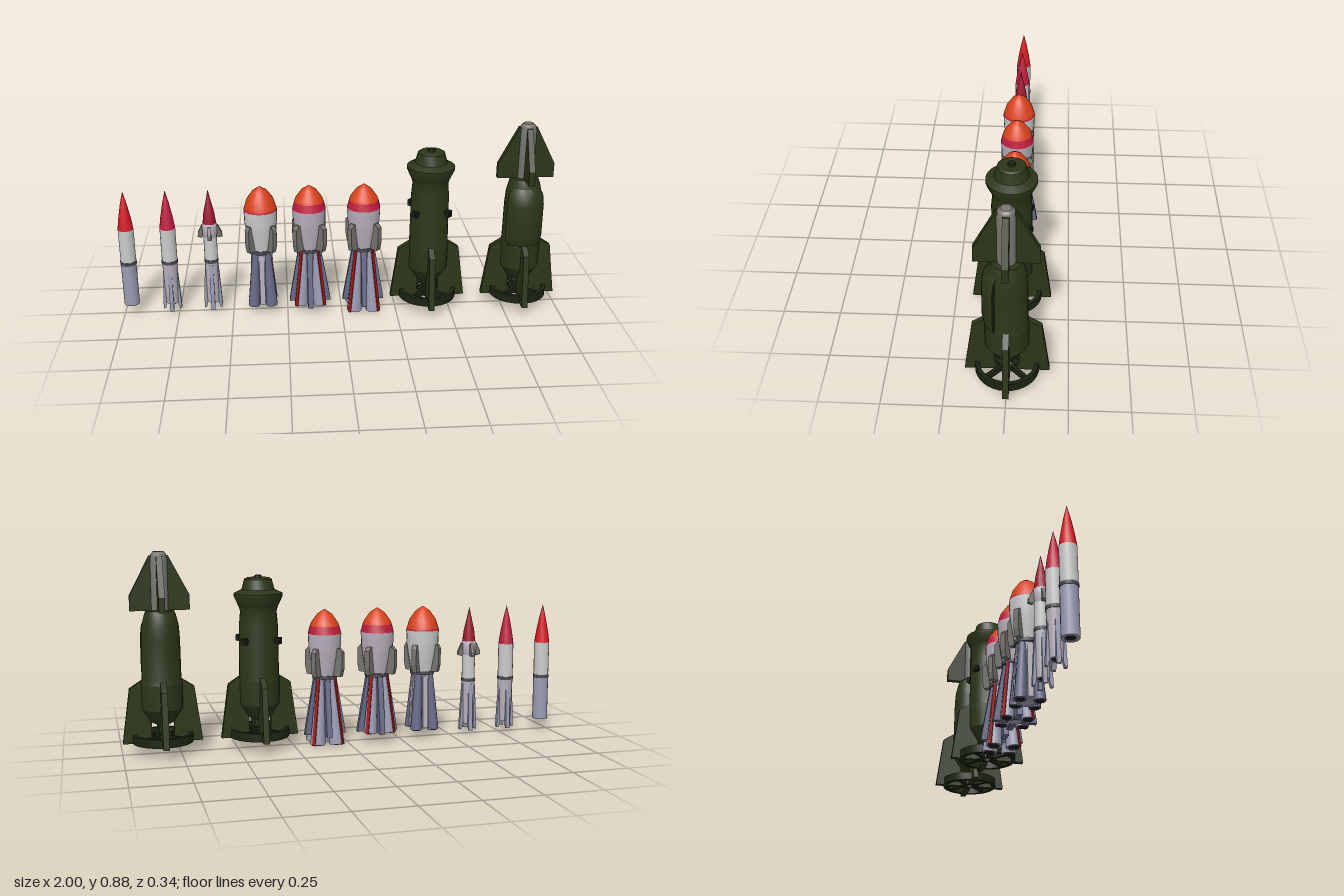
import * as THREE from 'three';
import { toCreasedNormals } from 'three/addons/utils/BufferGeometryUtils.js';

const paint = (color) => new THREE.MeshStandardMaterial({ color, side: THREE.DoubleSide });
const M = {
  red: paint(0xd41a22), crimson: paint(0xc01c3e), orange: paint(0xd8421a), maroon: paint(0x9c1830),
  white: paint(0xdcd8dc), lilac: paint(0xb8b0bc), steel: paint(0x9a9cb4), slate: paint(0x686a88),
  dark: paint(0x4a4a50), black: paint(0x1c1c20), stripe: paint(0xa01818),
  green: paint(0x2c3618), deep: paint(0x1c2412), grey: paint(0x77746f),
};
const CARDINAL = [0, 1, 2, 3].map((i) => i * Math.PI / 2);
const DIAGONAL = CARDINAL.map((a) => a + Math.PI / 4);

function add(parent, name, geometry, material) {
  const mesh = new THREE.Mesh(geometry, material);
  mesh.name = name;
  parent.add(mesh);
  return mesh;
}

// Turned part from [radius, height] pairs, bottom to top
function turn(parent, name, pts, material, sides = 20, start = 0, sweep = Math.PI * 2) {
  const g = new THREE.LatheGeometry(pts.map(([r, y]) => new THREE.Vector2(r, y)), sides, start, sweep);
  return add(parent, name, toCreasedNormals(g, 0.5), material);
}

// Flat plates with a [radius, height] outline, repeated around the axis
function plates(parent, name, pts, thick, angles, material) {
  const shape = new THREE.Shape(pts.map(([r, y]) => new THREE.Vector2(r, y)));
  const g = new THREE.ExtrudeGeometry(shape, { depth: thick, bevelEnabled: false });
  g.translate(0, 0, -thick / 2);
  for (const a of angles) add(parent, name, g, material).rotation.y = a;
}

// Leaning tapered boosters, from [radius, height] at the foot to the top
function boosters(parent, foot, top, rFoot, rTop, angles, material) {
  const dir = new THREE.Vector3(top[0] - foot[0], top[1] - foot[1], 0);
  const g = new THREE.CylinderGeometry(rTop, rFoot, dir.length(), 12);
  g.rotateZ(-Math.atan2(dir.x, dir.y));
  g.translate((foot[0] + top[0]) / 2, (foot[1] + top[1]) / 2, 0);
  const mouth = new THREE.CylinderGeometry(rFoot * 0.72, rFoot * 0.72, 0.004, 12);
  mouth.translate(foot[0], foot[1], 0);
  for (const a of angles) {
    add(parent, 'booster', g, material).rotation.y = a;
    add(parent, 'boosterMouth', mouth, M.black).rotation.y = a;
  }
}

function slimRocket(kind) {
  const g = new THREE.Group();
  const r = kind === 2 ? 0.03 : 0.035;
  const noseY = kind === 2 ? 0.44 : 0.42;
  turn(g, 'noseCone', [[r, noseY], [r * 0.8, noseY + 0.05], [r * 0.42, 0.54], [0, 0.6]], [M.red, M.crimson, M.maroon][kind], 16);
  turn(g, 'upperBody', [[r, 0.26], [r, noseY]], M.white, 16);
  turn(g, 'stageBand', [[r, 0.25], [r + 0.002, 0.25], [r + 0.002, 0.265], [r, 0.265]], M.dark, 16);
  const low = kind === 0 ? r : 0.028;
  turn(g, 'lowerBody', [[0, 0.07], [low * 0.6, 0.05], [low, 0.05], [r, 0.25]], kind === 0 ? M.steel : M.lilac, 16);
  turn(g, 'engineMouth', [[0, 0.052], [low * 0.6, 0.052]], M.black, 16);
  if (kind > 0) {
    plates(g, 'tailFin', [[0.024, 0.05], [0.032, 0.02], [0.042, 0.02], [0.038, 0.11], [0.03, 0.24], [0.02, 0.24]], 0.018, CARDINAL, M.steel);
  }
  if (kind === 2) {
    turn(g, 'collar', [[0.03, 0.375], [0.034, 0.4], [0.034, 0.43], [0.03, 0.44]], M.lilac, 16);
    plates(g, 'collarFin', [[0.026, 0.39], [0.036, 0.37], [0.055, 0.375], [0.053, 0.395], [0.036, 0.43], [0.026, 0.43]], 0.016, CARDINAL, M.grey);
  }
  return g;
}

function heavyRocket(kind) {
  const g = new THREE.Group();
  const tint = kind === 0 ? M.white : M.lilac;
  const seam = kind === 0 ? 0.508 : 0.535;
  const seamR = kind === 0 ? 0.073 : 0.066;
  turn(g, 'noseSkirt', [[0.075, 0.5], [seamR, seam]], M.crimson);
  turn(g, 'noseCap', [[seamR, seam], [0.06, 0.55], [0.033, 0.588], [0, 0.61]], M.orange);
  turn(g, 'upperBody', [[0.052, 0.31], [0.066, 0.39], [0.073, 0.44], [0.075, 0.5]], tint);
  turn(g, 'stageBand', [[0.046, 0.297], [0.056, 0.297], [0.056, 0.313], [0.046, 0.313]], M.dark);
  const out = kind === 0 ? 0 : 0.008;
  plates(g, 'sidePod', [[0.05, 0.31], [0.08 + out, 0.31], [0.088 + out, 0.345], [0.088 + out, 0.42], [0.078, 0.437], [0.06, 0.437]],
    0.024, DIAGONAL, M.grey);
  turn(g, 'coreStage', [[0, 0.045], [0.045, 0.045], [0.045, 0.3]], M.steel);
  if (kind === 0) {
    boosters(g, [0.058, 0.04], [0.036, 0.3], 0.026, 0.017, DIAGONAL, M.slate);
    plates(g, 'coverStrip', [[0.03, 0.05], [0.058, 0.05], [0.048, 0.29], [0.03, 0.29]], 0.024, CARDINAL, M.lilac);
    return g;
  }
  // Striped boosters between dark flared ribs
  const footY = kind === 2 ? 0.002 : 0.04;
  const footR = kind === 2 ? 0.034 : 0.03;
  boosters(g, [0.062, footY], [0.036, 0.3], footR, 0.018, DIAGONAL, M.steel);
  plates(g, 'redStripe', [[0.05, footY], [0.062 + footR + 0.002, footY], [0.056, 0.3], [0.04, 0.3]], 0.016, DIAGONAL, M.stripe);
  plates(g, 'flaredRib', [[0.03, 0.04], [0.095, 0.04], [0.088, 0.085], [0.052, 0.295], [0.03, 0.295]], 0.024, CARDINAL, M.slate);
  return g;
}

// Shared tail of the green rockets: fins, ring and spokes
function greenTail(g) {
  turn(g, 'tailCone', [[0, 0.115], [0.05, 0.14], [0.088, 0.2], [0.09, 0.31]], M.green, 28);
  plates(g, 'tailFin', [[0.048, 0.05], [0.172, 0.05], [0.139, 0.29], [0.085, 0.325], [0.06, 0.3], [0.048, 0.14]], 0.026, CARDINAL, M.green);
  turn(g, 'tailRing', [[0.114, 0.05], [0.131, 0.05], [0.131, 0.088], [0.114, 0.088], [0.114, 0.05]], M.deep, 32);
  plates(g, 'ringSpoke', [[0.03, 0.055], [0.118, 0.055], [0.118, 0.083], [0.03, 0.083]], 0.014, DIAGONAL, M.deep);
  plates(g, 'finRoot', [[0.03, 0.055], [0.05, 0.055], [0.05, 0.083], [0.03, 0.083]], 0.02, CARDINAL, M.deep);
  turn(g, 'tailHub', [[0.022, 0.055], [0.036, 0.055], [0.036, 0.083], [0.022, 0.083], [0.022, 0.055]], M.deep, 20);
}

function domeRocket() {
  const g = new THREE.Group();
  greenTail(g);
  turn(g, 'body', [[0.09, 0.31], [0.088, 0.33], [0.085, 0.55], [0.08, 0.61], [0.086, 0.63]], M.green, 28);
  turn(g, 'head', [[0.086, 0.63], [0.107, 0.675], [0.107, 0.688], [0.072, 0.705], [0.06, 0.75], [0.05, 0.756], [0, 0.756]], M.green, 28);
  turn(g, 'topKnob', [[0.017, 0.755], [0.015, 0.767], [0, 0.767]], M.deep, 12);
  // Thruster blocks: a stem with a square plate and a nozzle
  for (const a of DIAGONAL) {
    const block = new THREE.Group();
    block.name = 'thrusterBlock';
    add(block, 'stem', new THREE.BoxGeometry(0.035, 0.014, 0.014), M.deep).position.x = 0.102;
    add(block, 'plate', new THREE.BoxGeometry(0.016, 0.028, 0.028), M.black).position.x = 0.107;
    block.position.y = 0.485;
    block.rotation.y = a;
    g.add(block);
  }
  return g;
}

function winglessTopRocket() {
  const g = new THREE.Group();
  greenTail(g);
  turn(g, 'body', [[0.09, 0.31], [0.085, 0.33], [0.083, 0.5], [0.079, 0.56], [0.068, 0.605], [0.06, 0.625], [0, 0.63]], M.green, 28);
  // Raised panel over the front of the body
  turn(g, 'frontPanel', [[0.08, 0.3], [0.092, 0.32], [0.098, 0.36], [0.098, 0.51], [0.091, 0.56], [0.07, 0.59]], M.green, 14, -1, 2);
  plates(g, 'panelEdge', [[0.07, 0.3], [0.092, 0.32], [0.098, 0.36], [0.098, 0.51], [0.091, 0.56], [0.07, 0.59]], 0.003,
    [-Math.PI / 2 + 1, -Math.PI / 2 - 1], M.deep);
  // Finned head
  turn(g, 'headCore', [[0, 0.625], [0.038, 0.625], [0.038, 0.845], [0.033, 0.865], [0.022, 0.876], [0, 0.878]], M.grey, 20);
  plates(g, 'headFin', [[0.02, 0.625], [0.127, 0.625], [0.127, 0.69], [0.04, 0.858], [0.02, 0.858]], 0.026, CARDINAL, M.green);
  return g;
}

export function createModel() {
  const model = new THREE.Group();
  model.name = 'rocketLineUp';
  const row = [
    ['plainSlimRocket', -0.965, slimRocket(0)], ['finnedSlimRocket', -0.78, slimRocket(1)],
    ['collaredSlimRocket', -0.592, slimRocket(2)], ['heavyRocket', -0.363, heavyRocket(0)],
    ['stripedRocket', -0.145, heavyRocket(1)], ['stripedBellRocket', 0.101, heavyRocket(2)],
    ['domeTopRocket', 0.4, domeRocket()], ['finTopRocket', 0.826, winglessTopRocket()],
  ];
  for (const [name, x, rocket] of row) {
    rocket.name = name;
    rocket.position.x = x;
    model.add(rocket);
  }
  return model;
}
